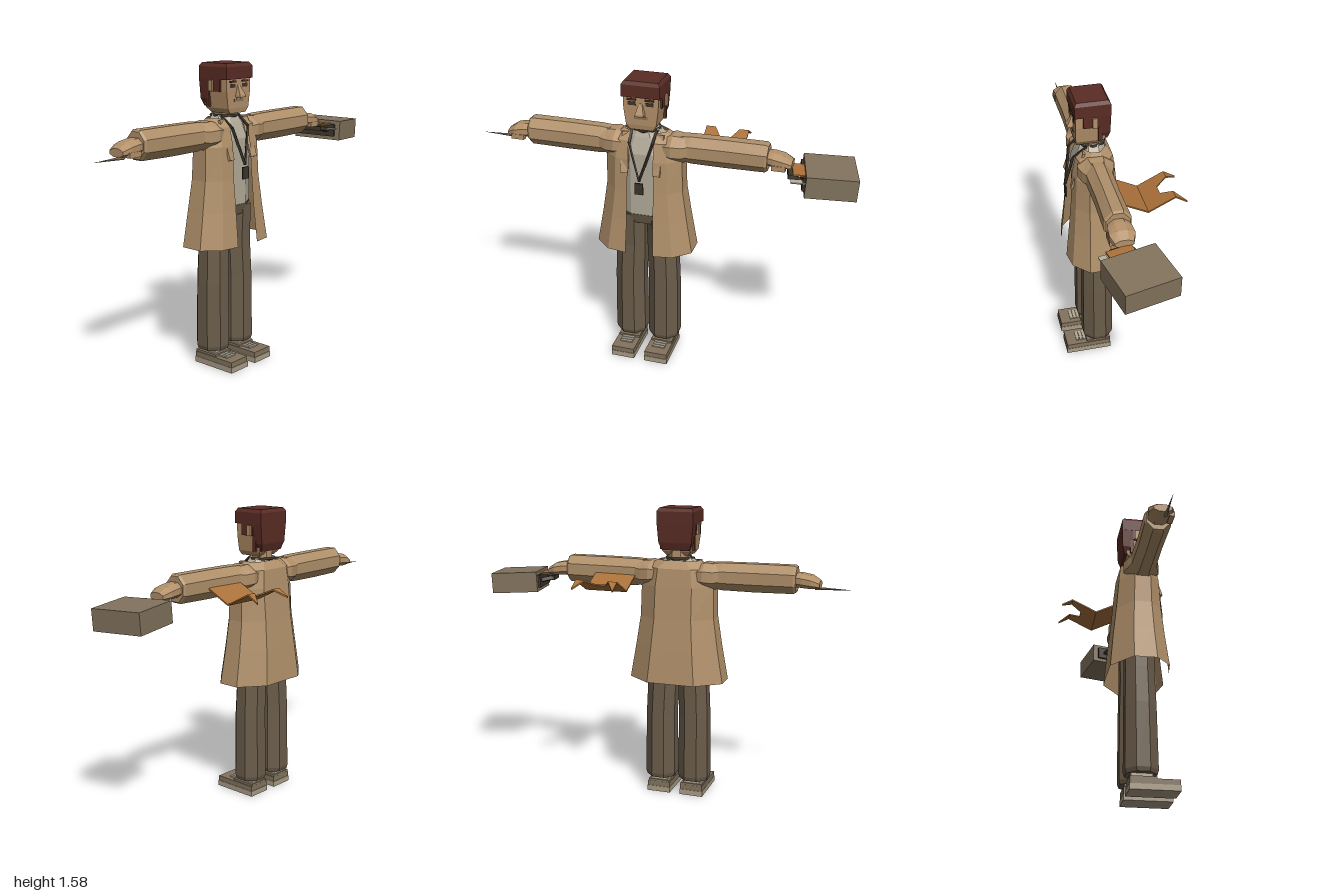
import * as THREE from 'three';

const paint = (name, color, side = THREE.FrontSide) => {
  const m = new THREE.MeshStandardMaterial({ color, side });
  m.name = name;
  return m;
};
const MAT = {
  coat: paint('tan coat', 0xb0906a, THREE.DoubleSide),
  skin: paint('skin', 0xb39069),
  hair: paint('red brown hair', 0x5a2c24),
  shirt: paint('off-white cloth', 0xb5ad9b),
  trousers: paint('brown trousers', 0x6a5c4a),
  taupe: paint('taupe leather', 0x82735d),
  sole: paint('pale sole', 0xa99c86),
  orange: paint('orange leather', 0xab713a, THREE.DoubleSide),
  dark: paint('dark brown', 0x3c342b),
};

function add(parent, name, geo, mat, x = 0, y = 0, z = 0) {
  const m = new THREE.Mesh(geo, mat);
  m.name = name;
  m.position.set(x, y, z);
  parent.add(m);
  return m;
}

// faceted skin over rings of points; rings rise and run anticlockwise from above
function loft(rings, closed = true) {
  const out = [], n = rings[0].length;
  const tri = (...p) => p.forEach((q) => out.push(...q));
  for (let i = 0; i < rings.length - 1; i++) {
    for (let j = 0; j < (closed ? n : n - 1); j++) {
      const k = (j + 1) % n, [lo, hi] = [rings[i], rings[i + 1]];
      tri(lo[j], lo[k], hi[k]);
      tri(lo[j], hi[k], hi[j]);
    }
  }
  if (closed) {
    const lo = rings[0], hi = rings[rings.length - 1];
    for (let j = 1; j < n - 1; j++) {
      tri(lo[0], lo[j + 1], lo[j]);
      tri(hi[0], hi[j], hi[j + 1]);
    }
  }
  const g = new THREE.BufferGeometry();
  g.setAttribute('position', new THREE.Float32BufferAttribute(out, 3));
  g.computeVertexNormals();
  return g;
}

// sections: [height, half width, half depth, centre x, centre z]
function tube(sections, n = 8) {
  const k = 1 / Math.cos(Math.PI / n);
  return loft(sections.map(([y, rx, rz, cx = 0, cz = 0]) =>
    Array.from({ length: n }, (_, j) => {
      const a = ((j + 0.5) / n) * Math.PI * 2;
      return [cx + rx * k * Math.cos(a), y, cz - rz * k * Math.sin(a)];
    })));
}

const box = (w, h, d) => new THREE.BoxGeometry(w, h, d);

// bar of rectangular section between two points
function bar(parent, name, mat, a, b, w, d) {
  const p = new THREE.Vector3(...a), q = new THREE.Vector3(...b);
  const m = add(parent, name, box(w, p.distanceTo(q), d), mat);
  m.position.copy(p).add(q).multiplyScalar(0.5);
  m.quaternion.setFromUnitVectors(new THREE.Vector3(0, 1, 0), q.sub(p).normalize());
}

function buildHead(body) {
  const head = new THREE.Group();
  head.name = 'head';
  body.add(head);
  const square = ([y, w, zf, zb]) => [[w, y, zf], [w, y, zb], [-w, y, zb], [-w, y, zf]];
  add(head, 'face', loft([[1.33, 0.06, 0.183, 0.06], [1.355, 0.078, 0.187, 0.04],
    [1.44, 0.09, 0.188, 0.03], [1.53, 0.092, 0.188, 0.03]].map(square)), MAT.skin);
  add(head, 'neck', tube([[1.26, 0.058, 0.055, 0, 0.095], [1.37, 0.052, 0.05, 0, 0.09]]), MAT.skin);
  add(head, 'nose', loft([[1.41, 0.022, 0.218, 0.18], [1.42, 0.022, 0.218, 0.18],
    [1.47, 0.008, 0.19, 0.18]].map(square)), MAT.skin);
  add(head, 'mouth', box(0.07, 0.014, 0.006), MAT.taupe, 0, 1.395, 0.188);
  // hair cap, back and sides around the ears
  add(head, 'hairTop', loft([[1.5, 0.1, 0.194, 0.01], [1.562, 0.1, 0.194, 0.01],
    [1.58, 0.088, 0.182, 0.022]].map(square)), MAT.hair);
  add(head, 'hairBack', loft([[1.36, 0.074, 0.062, 0.025], [1.4, 0.09, 0.065, 0.013],
    [1.51, 0.1, 0.075, 0.01]].map(square)), MAT.hair);
  for (const s of [-1, 1]) {
    add(head, 'hairSide', box(0.014, 0.07, 0.08), MAT.hair, s * 0.092, 1.475, 0.11);
    add(head, 'sideburn', box(0.014, 0.08, 0.02), MAT.hair, s * 0.088, 1.4, 0.065);
    add(head, 'ear', box(0.022, 0.055, 0.026), MAT.skin, s * 0.098, 1.468, 0.092);
    add(head, 'eye', box(0.042, 0.018, 0.006), MAT.dark, s * 0.046, 1.468, 0.188);
    add(head, 'eyebrow', box(0.046, 0.009, 0.008), MAT.hair, s * 0.046, 1.489, 0.19);
  }
}

function buildTorso(body) {
  add(body, 'shirt', tube([[0.845, 0.15, 0.085, 0, 0.1], [1.2, 0.14, 0.09, 0, 0.105],
    [1.285, 0.1, 0.07, 0, 0.1], [1.32, 0.066, 0.06, 0, 0.095]]), MAT.shirt);
  add(body, 'hips', tube([[0.8, 0.155, 0.08, 0, 0.095], [0.855, 0.152, 0.088, 0, 0.1]]), MAT.trousers);
  // coat rows: [height, half width, front z, back z, half opening]
  const rows = [[0.655, 0.26, 0.255, -0.06, 0.075], [0.84, 0.228, 0.235, -0.043, 0.07],
    [1.0, 0.204, 0.22, -0.025, 0.07], [1.17, 0.2, 0.21, -0.01, 0.066],
    [1.265, 0.18, 0.19, 0.0, 0.066], [1.305, 0.11, 0.15, 0.03, 0.066]];
  add(body, 'coat', loft(rows.map(([y, w, f, b, o]) => {
    const mid = (f + b) / 2, h = (f - b) / 2;
    const half = [[o, y, f], [w * 0.68, y, f - h * 0.1], [w, y, mid + h * 0.4],
      [w, y, mid - h * 0.35], [w * 0.5, y, b]];
    return [...half, ...half.map(([x, q, z]) => [-x, q, z]).reverse()];
  }), false), MAT.coat);
  add(body, 'neckCord', new THREE.TorusGeometry(0.07, 0.008, 4, 8).rotateX(Math.PI / 2),
    MAT.dark, 0, 1.315, 0.095);
  for (const s of [-1, 1]) {
    bar(body, 'lapel', MAT.coat, [s * 0.09, 1.3, 0.15], [s * 0.085, 1.1, 0.217], 0.04, 0.012);
    bar(body, 'lanyard', MAT.dark, [s * 0.066, 1.315, 0.13], [s * 0.06, 1.26, 0.2], 0.013, 0.008);
    bar(body, 'lanyard', MAT.dark, [s * 0.06, 1.26, 0.2], [0, 1.07, 0.234], 0.013, 0.008);
  }
  add(body, 'badge', box(0.044, 0.062, 0.008), MAT.dark, 0, 1.028, 0.235);
}

function buildLeg(body, s) {
  const leg = new THREE.Group();
  leg.name = s > 0 ? 'leftLeg' : 'rightLeg';
  leg.position.x = s * 0.094;
  body.add(leg);
  add(leg, 'trouserLeg', tube([[0.088, 0.078, 0.078, 0, 0.097], [0.11, 0.084, 0.084, 0, 0.097],
    [0.45, 0.08, 0.08, 0, 0.096], [0.65, 0.079, 0.075, -s * 0.008, 0.095],
    [0.845, 0.074, 0.082, -s * 0.015, 0.1]]), MAT.trousers);
  add(leg, 'sock', box(0.09, 0.05, 0.11), MAT.shirt, 0, 0.075, 0.095);
  add(leg, 'sole', box(0.13, 0.03, 0.255), MAT.sole, 0, 0.015, 0.157);
  add(leg, 'shoe', box(0.126, 0.028, 0.25), MAT.taupe, 0, 0.044, 0.157);
  add(leg, 'shoeHeel', box(0.118, 0.014, 0.135), MAT.taupe, 0, 0.063, 0.1);
  for (let i = 0; i < 3; i++) add(leg, 'lace', box(0.07, 0.007, 0.014), MAT.shirt, 0, 0.061, 0.178 + i * 0.02);
}

function buildArm(body, s) {
  const arm = new THREE.Group();
  arm.name = s > 0 ? 'leftArm' : 'rightArm';
  arm.position.set(0, 1.23, 0.102);
  if (s < 0) arm.rotation.y = Math.PI;
  body.add(arm);
  // lengthwise sections turned to lie along x; centre x becomes downward offset
  const along = (sections) => tube(sections).rotateZ(-Math.PI / 2);
  add(arm, 'shoulder', along([[0.11, 0.055, 0.085], [0.15, 0.068, 0.095],
    [0.2, 0.068, 0.08, 0.005], [0.235, 0.062, 0.065]]), MAT.coat);
  add(arm, 'sleeve', along([[0.19, 0.066, 0.066], [0.24, 0.072, 0.066, 0.002], [0.42, 0.074, 0.062, 0.002],
    [0.62, 0.072, 0.066], [0.632, 0.064, 0.058]]), MAT.coat);
  add(arm, 'hand', along([[0.62, 0.036, 0.048], [0.66, 0.037, 0.058, 0.002],
    [0.71, 0.034, 0.062, 0.008], [0.752, 0.02, 0.045, 0.02]]), MAT.skin);
  add(arm, 'thumb', box(0.07, 0.026, 0.026), MAT.skin, 0.69, -0.03, s * 0.05);
  return arm;
}

function buildBriefcase(root) {
  const wide = new THREE.Vector3(0.25, -0.05, -0.045).normalize();
  const back = new THREE.Vector3(-0.06, -0.126, -0.245);
  back.addScaledVector(wide, -back.dot(wide)).normalize();
  const up = new THREE.Vector3().crossVectors(wide, back).negate();
  const bag = new THREE.Group();
  bag.name = 'briefcase';
  bag.quaternion.setFromRotationMatrix(new THREE.Matrix4().makeBasis(wide, up, back.negate()));
  bag.position.set(0.841, 1.15, 0.073);
  root.add(bag);
  add(bag, 'case', box(0.258, 0.11, 0.28), MAT.taupe);
  add(bag, 'lid', box(0.02, 0.07, 0.22), MAT.dark, -0.132, 0, 0);
  // handle running from the case to the fist
  for (const s of [-1, 1]) bar(bag, 'handleArm', MAT.dark, [-0.13, 0, s * 0.07], [-0.2, 0.01, s * 0.045], 0.02, 0.02);
  bar(bag, 'handleGrip', MAT.dark, [-0.2, 0.01, -0.055], [-0.2, 0.01, 0.055], 0.024, 0.024);
  add(bag, 'strap', box(0.07, 0.008, 0.13), MAT.orange, -0.155, 0.035, 0.02);
  add(bag, 'paper', box(0.08, 0.006, 0.04), MAT.shirt, -0.16, 0.01, 0.1);
}

// folded leather flap with two pointed tails behind the left arm
function buildFlap(root) {
  const fold = [[0.06, 1.225], [-0.09, 1.15], [-0.17, 1.19], [-0.225, 1.217], [-0.285, 1.182]];
  const strips = [
    [[0.14, 0.37], [0.14, 0.37], [0.14, 0.37]],
    [[0.14, 0.225], [0.14, 0.19], [0.14, 0.146]],
    [[0.285, 0.37], [0.32, 0.37], [0.364, 0.37]],
  ];
  const flap = new THREE.Group();
  flap.name = 'flap';
  root.add(flap);
  strips.forEach((edges, i) => add(flap, i ? 'flapTail' : 'flapPanel', loft(edges.map(([l, r], j) => {
    const [z, y] = fold[j + (i ? 2 : 0)], t = 0.004;
    return [[l, y - t, z], [r, y - t, z], [r, y + t, z], [l, y + t, z]];
  })), MAT.orange));
}

export function createModel() {
  const root = new THREE.Group();
  root.name = 'manInCoat';
  const body = new THREE.Group();
  body.name = 'body';
  body.position.x = -0.09;
  root.add(body);
  buildHead(body);
  buildTorso(body);
  for (const s of [-1, 1]) {
    buildLeg(body, s);
    buildArm(body, s);
  }
  // slim pointed pen in the right hand
  const pen = new THREE.ConeGeometry(0.009, 0.19, 4).rotateZ(Math.PI / 2);
  add(body, 'pen', pen, MAT.taupe, -0.815, 1.186, 0.12);
  buildBriefcase(root);
  buildFlap(root);
  return root;
}
